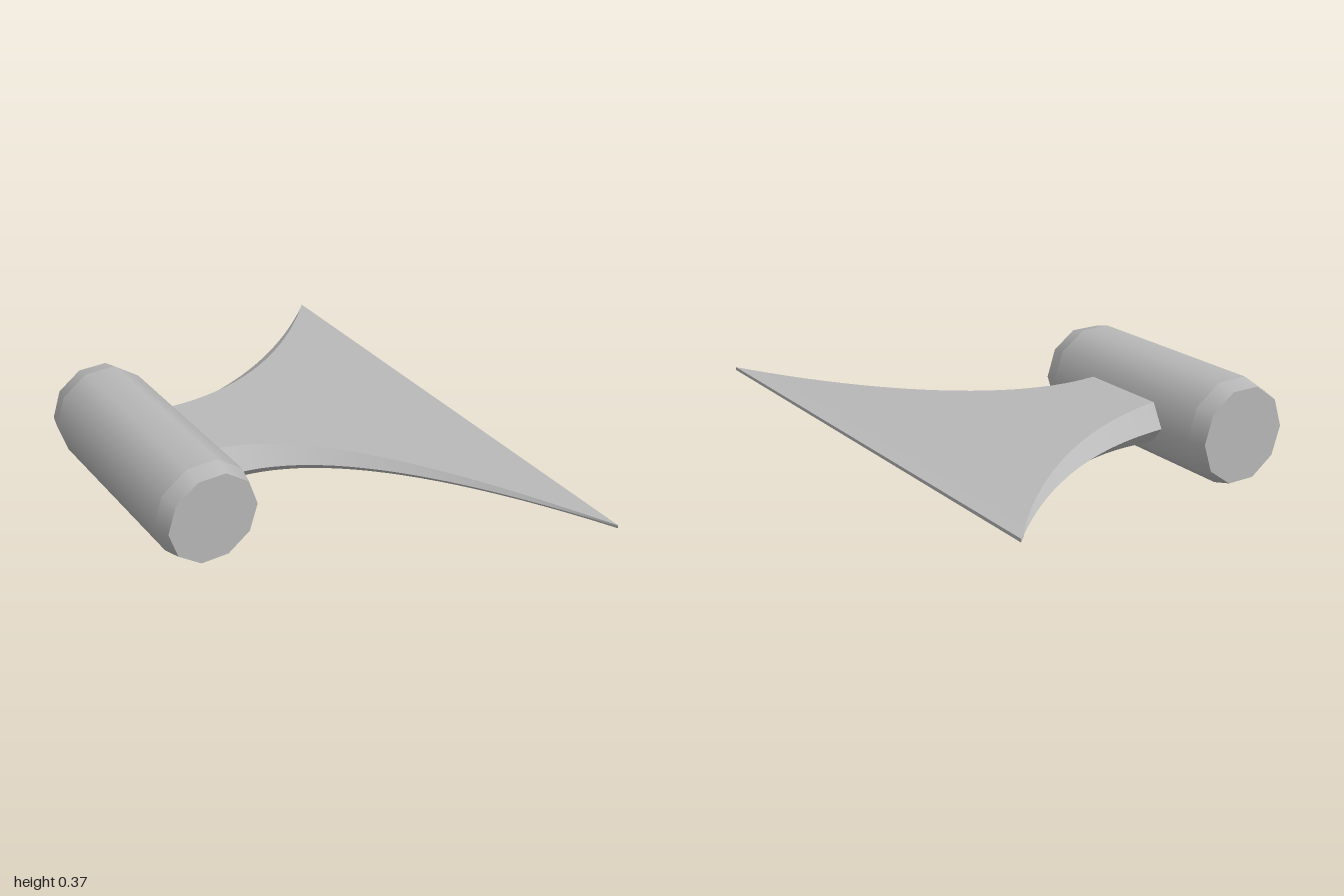
import * as THREE from 'three';

const MID_Y = 0.187;

// One loft of strips: each face keeps its own vertices so the edges between faces stay crisp.
function loft(sections) {
  const pos = [], idx = [];
  const sides = sections[0].length;
  for (let k = 0; k < sides; k++) {
    const base = pos.length / 3;
    sections.forEach((s) => pos.push(...s[k], ...s[(k + 1) % sides]));
    for (let i = 0; i < sections.length - 1; i++) {
      const a = base + i * 2;
      idx.push(a, a + 1, a + 2, a + 1, a + 3, a + 2);
    }
  }
  // End caps
  [sections[0], sections[sections.length - 1]].forEach((s, end) => {
    const base = pos.length / 3;
    s.forEach((p) => pos.push(...p));
    for (let k = 1; k < sides - 1; k++) {
      if (end) idx.push(base, base + k, base + k + 1);
      else idx.push(base, base + k + 1, base + k);
    }
  });
  const g = new THREE.BufferGeometry();
  g.setAttribute('position', new THREE.Float32BufferAttribute(pos, 3));
  g.setIndex(idx);
  g.computeVertexNormals();
  return g;
}

// Hexagonal cross-section of the blade at a given x
function bladeSection(x) {
  const u = Math.max(0, (x + 0.29) / 0.96);
  const flare = 0.93 * u * u + 0.07 * u;
  const h = 0.006 + 0.069 * Math.pow(1 - u, 1.25);
  const mix = THREE.MathUtils.lerp;
  const back = mix(-0.505, -1, flare), front = mix(0, 1, flare);
  const backFlat = mix(-0.43, -1, flare), frontFlat = mix(-0.075, 1, flare);
  return [
    [x, MID_Y, back], [x, MID_Y + h, backFlat], [x, MID_Y + h, frontFlat],
    [x, MID_Y, front], [x, MID_Y - h, frontFlat], [x, MID_Y - h, backFlat],
  ];
}

export function createModel() {
  const model = new THREE.Group();
  model.name = 'flaredBlade';
  const grey = new THREE.MeshStandardMaterial({ color: 0xb8b8b8 });
  grey.name = 'grey';

  // Ten-sided socket with tapered ends
  const socket = new THREE.Group();
  socket.name = 'socket';
  socket.position.set(-0.474, MID_Y, -0.2525);
  const addRing = (name, rFront, rBack, length, z, open) => {
    const g = new THREE.CylinderGeometry(rFront, rBack, length, 10, 1, open, Math.PI / 2);
    g.rotateX(Math.PI / 2);
    const mesh = new THREE.Mesh(g, grey);
    mesh.name = name;
    mesh.position.z = z;
    socket.add(mesh);
  };
  const R = 0.196, r = 0.178, body = 0.785, taper = 0.07;
  addRing('socketBody', R, R, body, 0, true);
  addRing('frontTaper', r, R, taper, (body + taper) / 2, true);
  addRing('backTaper', R, r, taper, -(body + taper) / 2, true);
  // End discs close the tapers
  for (const side of [1, -1]) {
    const g = new THREE.CircleGeometry(r, 10);
    if (side < 0) g.rotateY(Math.PI);
    const cap = new THREE.Mesh(g, grey);
    cap.name = side > 0 ? 'frontCap' : 'backCap';
    cap.position.z = side * (body / 2 + taper);
    socket.add(cap);
  }
  model.add(socket);

  // Blade thins and flares out from the socket to a straight cutting edge
  const sections = [bladeSection(-0.42)];
  const steps = 24;
  for (let i = 0; i <= steps; i++) sections.push(bladeSection(-0.29 + (0.96 * i) / steps));
  const blade = new THREE.Mesh(loft(sections), grey);
  blade.name = 'blade';
  model.add(blade);

  return model;
}
